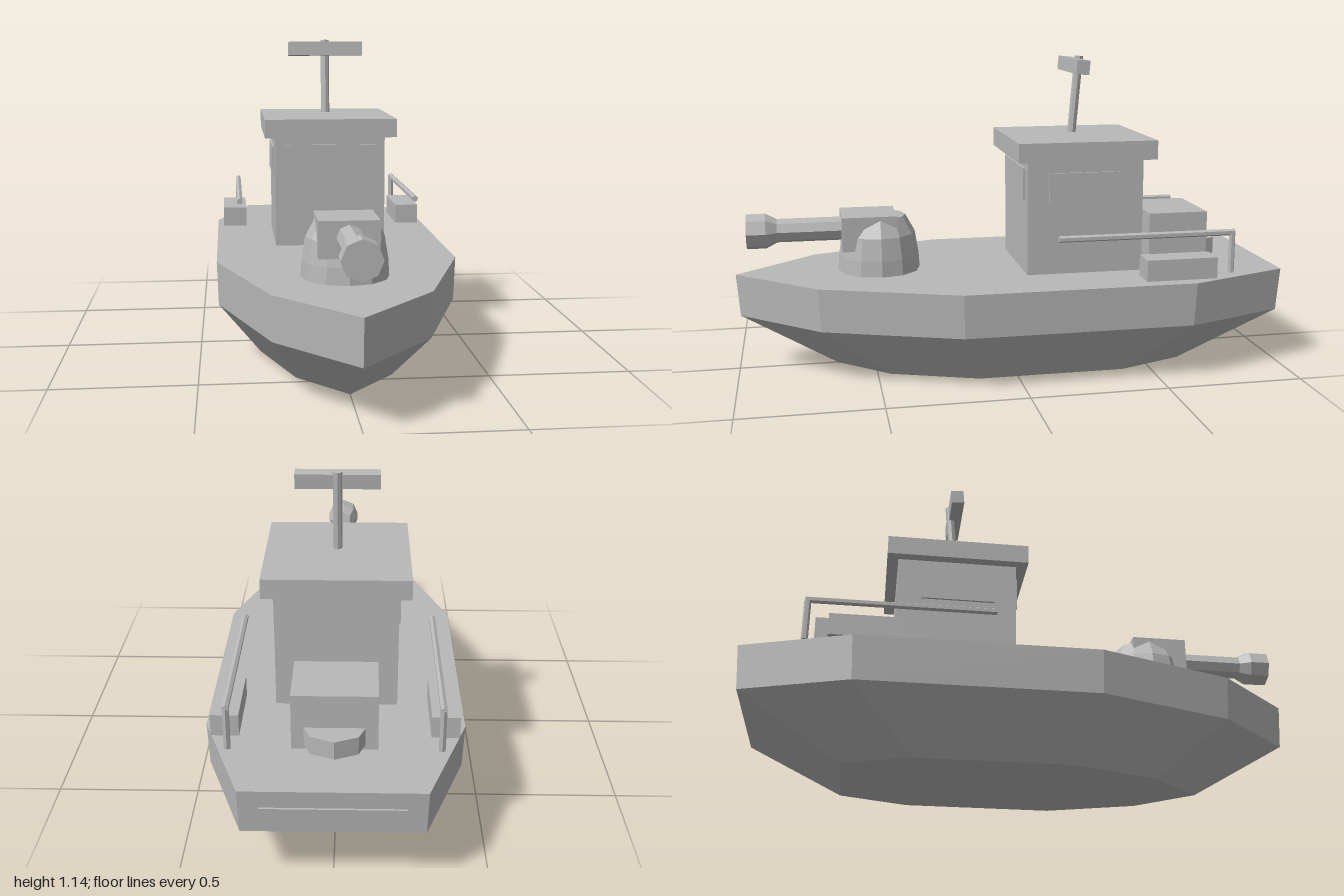
import * as THREE from 'three';

const grey = new THREE.MeshStandardMaterial({ color: 0xb8b8b8, flatShading: true });
grey.name = 'plain grey';

// Hull: one deck outline, scaled down at the chine and at the bottom
function hullGeometry() {
  const half = [[0, 1], [0.26, 0.71], [0.435, 0.22], [0.435, -0.62], [0.295, -1]];
  const outline = [...half, ...half.slice(1).reverse().map(([x, z]) => [-x, z])];
  const rings = [[0, 0.64], [0.203, 0.988], [0.36, 1]].map(([y, s]) =>
    outline.map(([x, z]) => [x * s, y, z * s]));
  const n = outline.length, pos = [];
  const tri = (...corners) => corners.forEach(c => pos.push(...c));
  for (let r = 0; r < 2; r++) {
    for (let i = 0; i < n; i++) {
      const j = (i + 1) % n, a = rings[r], b = rings[r + 1];
      tri(a[i], a[j], b[j]);
      tri(a[i], b[j], b[i]);
    }
  }
  for (let i = 1; i < n - 1; i++) {
    tri(rings[2][0], rings[2][i], rings[2][i + 1]);
    tri(rings[0][0], rings[0][i + 1], rings[0][i]);
  }
  const g = new THREE.BufferGeometry();
  g.setAttribute('position', new THREE.Float32BufferAttribute(pos, 3));
  g.computeVertexNormals();
  return g;
}

export function createModel() {
  const model = new THREE.Group();
  model.name = 'gunboat';

  const add = (name, geometry, parent = model) => {
    const mesh = new THREE.Mesh(geometry, grey);
    mesh.name = name;
    parent.add(mesh);
    return mesh;
  };
  // Box given by its limits on each axis
  const box = (name, [x0, x1], [y0, y1], [z0, z1], parent) => {
    const mesh = add(name, new THREE.BoxGeometry(x1 - x0, y1 - y0, z1 - z0), parent);
    mesh.position.set((x0 + x1) / 2, (y0 + y1) / 2, (z0 + z1) / 2);
    return mesh;
  };
  // Cylinder running between two points
  const rod = (name, from, to, r0, r1, sides, parent) => {
    const a = new THREE.Vector3(...from), b = new THREE.Vector3(...to);
    const mesh = add(name, new THREE.CylinderGeometry(r1, r0, a.distanceTo(b), sides), parent);
    mesh.position.copy(a).lerp(b, 0.5);
    mesh.quaternion.setFromUnitVectors(new THREE.Vector3(0, 1, 0), b.sub(a).normalize());
    return mesh;
  };

  add('hull', hullGeometry());
  const plate = box('sternPlate', [-0.23, 0.23], [0.242, 0.298], [-1, -0.988]);
  plate.rotation.x = -0.07;

  // Wheelhouse with roof and window plates
  const house = new THREE.Group();
  house.name = 'wheelhouse';
  model.add(house);
  box('cabin', [-0.21, 0.21], [0.355, 0.78], [-0.482, -0.048], house);
  box('roof', [-0.25, 0.25], [0.78, 0.85], [-0.522, -0.007], house);
  box('frontWindow', [-0.172, 0.172], [0.632, 0.75], [-0.048, -0.039], house);
  for (const s of [-1, 1]) {
    const w = box('sideWindow', [-0.0045, 0.0045], [0.625, 0.735], [-0.392, -0.128], house);
    w.position.x = s * 0.2142;
  }

  // Raked mast with crossbar
  rod('mast', [0, 0.858, -0.262], [0, 1.142, -0.287], 0.0167, 0.0167, 8);
  const bar = box('mastCrossbar', [-0.145, 0.145], [1.082, 1.134], [-0.291, -0.243]);
  bar.rotation.x = -0.09;

  // Gun turret on the foredeck
  const turret = new THREE.Group();
  turret.name = 'gunTurret';
  model.add(turret);
  const profile = [[0, 0.362], [0.152, 0.362], [0.148, 0.42], [0.135, 0.5], [0.1, 0.565], [0, 0.57]];
  const dome = add('turretDome',
    new THREE.LatheGeometry(profile.map(p => new THREE.Vector2(...p)), 12), turret);
  dome.position.z = 0.475;
  box('gunHousing', [-0.102, 0.102], [0.45, 0.576], [0.413, 0.613], turret);
  const y = 0.519;
  rod('barrel', [0, y, 0.6], [0, y, 0.85], 0.044, 0.044, 8, turret);
  rod('muzzleFlare', [0, y, 0.845], [0, y, 0.885], 0.044, 0.065, 8, turret);
  rod('muzzle', [0, y, 0.885], [0, y, 0.954], 0.065, 0.065, 8, turret);

  // Aft locker and the low drum behind it
  box('aftLocker', [-0.141, 0.141], [0.358, 0.557], [-0.763, -0.535]);
  rod('aftDrum', [0, 0.376, -0.738], [0, 0.44, -0.738], 0.11, 0.11, 8);

  // Side lockers and handrails, mirrored
  for (const s of [-1, 1]) {
    const locker = box('sideLocker', [-0.047, 0.047], [0.368, 0.445], [-0.702, -0.441]);
    locker.position.x = s * 0.363;
    const x = s * 0.346;
    rod('handrail', [x, 0.521, -0.133], [x, 0.521, -0.788], 0.012, 0.012, 6);
    rod('railPost', [x, 0.372, -0.78], [x, 0.521, -0.78], 0.012, 0.012, 6);
  }
  return model;
}
